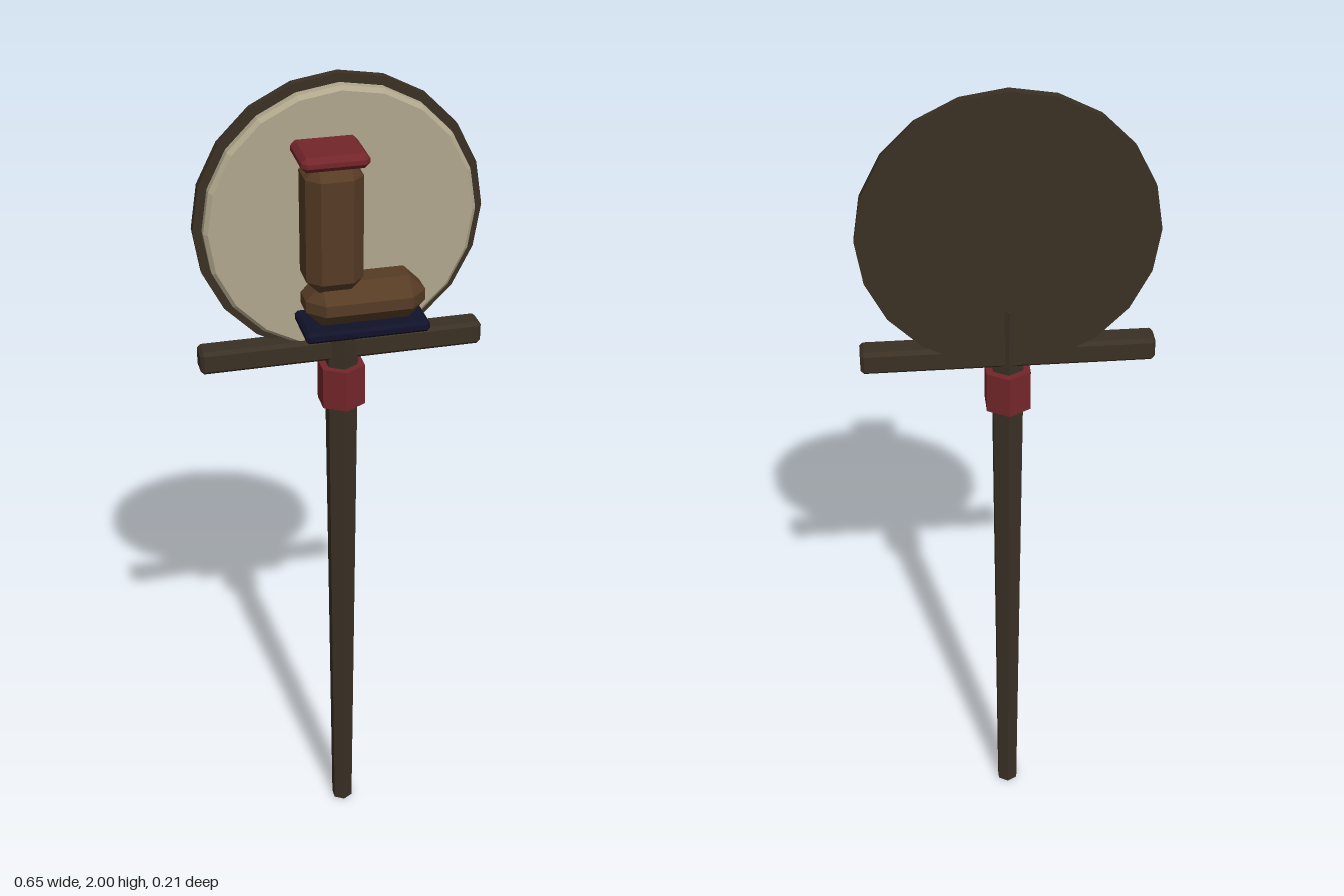
import * as THREE from 'three';
import { ConvexGeometry } from 'three/addons/geometries/ConvexGeometry.js';

const paint = (name, color) => {
  const m = new THREE.MeshStandardMaterial({ color, flatShading: true });
  m.name = name;
  return m;
};

// Box with every edge cut at 45 degrees, given by its min and max corners
function chamferBox(min, max, c) {
  const pts = [];
  const lo = new THREE.Vector3(...min), hi = new THREE.Vector3(...max);
  const mid = lo.clone().add(hi).multiplyScalar(0.5);
  const h = hi.clone().sub(lo).multiplyScalar(0.5);
  for (const x of [-1, 1]) for (const y of [-1, 1]) for (const z of [-1, 1])
    for (let full = 0; full < 3; full++) {
      pts.push(new THREE.Vector3(
        mid.x + x * (h.x - (full === 0 ? 0 : c)),
        mid.y + y * (h.y - (full === 1 ? 0 : c)),
        mid.z + z * (h.z - (full === 2 ? 0 : c))));
    }
  return new ConvexGeometry(pts);
}

export function createModel() {
  const group = new THREE.Group();
  const darkWood = paint('dark wood', 0x3a3024);
  const cream = paint('weathered cream', 0xb0a78c);
  const leather = paint('brown leather', 0x563b25);
  const red = paint('dark red', 0x74262a);
  const navy = paint('navy sole', 0x10122a);

  const add = (name, geometry, material) => {
    const mesh = new THREE.Mesh(geometry, material);
    mesh.name = name;
    group.add(mesh);
    return mesh;
  };
  const postZ = -0.047, discY = 1.675;

  // Tapered six-sided post with a collar and a crossbar
  add('post', new THREE.CylinderGeometry(0.041, 0.027, 1.49, 6), darkWood).position.set(0, 0.745, postZ);
  add('collar', new THREE.CylinderGeometry(0.057, 0.057, 0.1, 6), red).position.set(0, 1.275, postZ);
  add('crossbar', chamferBox([-0.327, 1.342, -0.082], [0.327, 1.397, -0.023], 0.008), darkWood);

  // Round sign board
  const board = new THREE.CylinderGeometry(0.325, 0.325, 0.02, 20).rotateX(Math.PI / 2);
  add('signBoard', board, darkWood).position.set(0, discY, -0.072);

  // Pale face plate with a bevelled front edge
  const profile = [[0, -0.063], [0.305, -0.063], [0.305, -0.043], [0.296, -0.034], [0, -0.034]]
    .map(([r, z]) => new THREE.Vector2(r, z));
  const plate = new THREE.LatheGeometry(profile, 20).rotateX(Math.PI / 2);
  add('signFace', plate, cream).position.y = discY;

  // Boot emblem
  add('bootSole', chamferBox([-0.112, 1.456, -0.028], [0.167, 1.481, 0.102], 0.007), navy);
  add('bootFoot', chamferBox([-0.105, 1.48, -0.025], [0.163, 1.58, 0.1], 0.037), leather);
  add('bootShaft', chamferBox([-0.105, 1.565, -0.02], [0.021, 1.853, 0.1], 0.028), leather);
  add('bootCuff', chamferBox([-0.117, 1.848, -0.027], [0.029, 1.88, 0.102], 0.011), red);

  return group;
}
